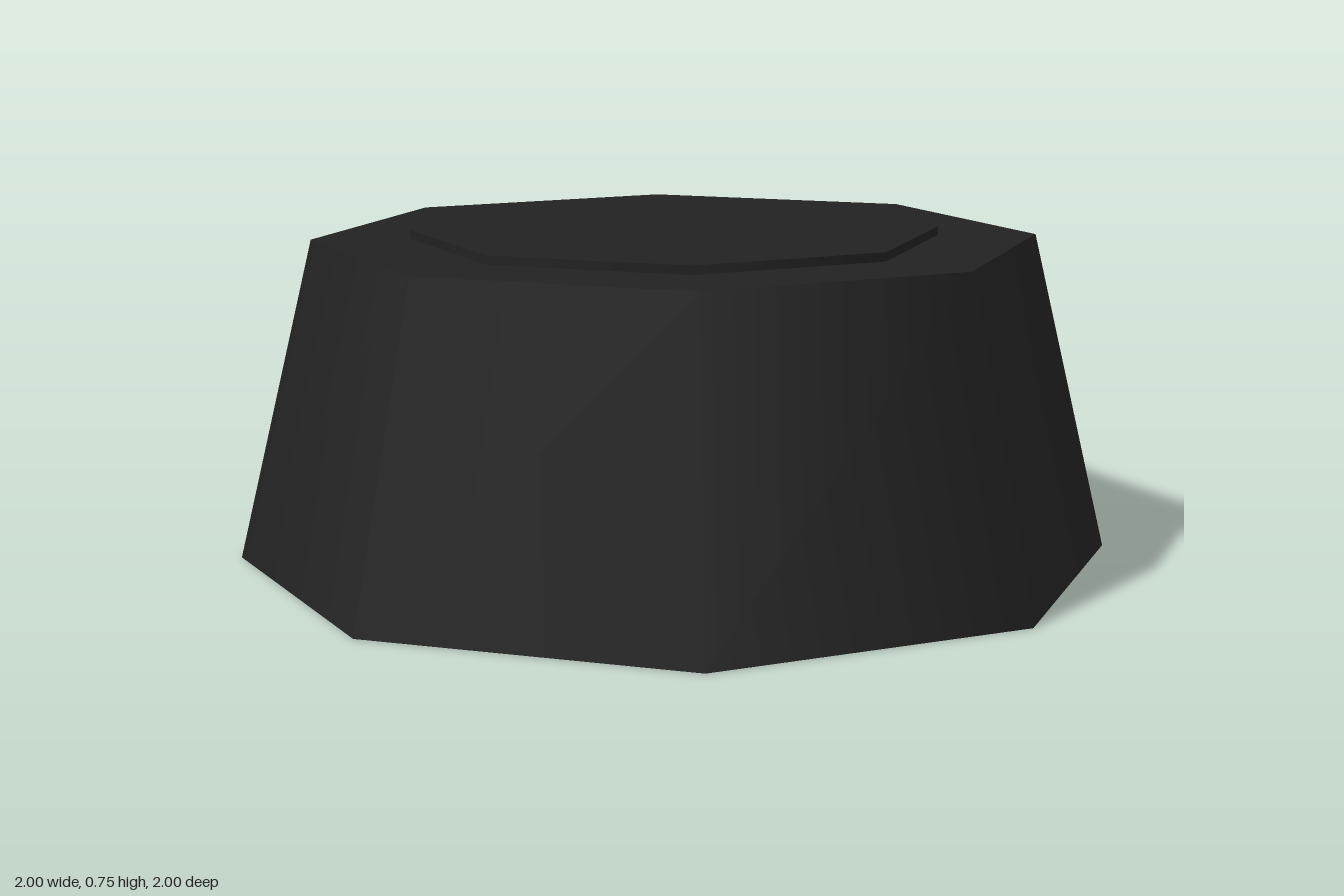
import * as THREE from 'three';

export function createModel() {
  const group = new THREE.Group();
  const charcoal = new THREE.MeshStandardMaterial({ color: 0x222222 });
  charcoal.name = 'charcoal';

  // Eight-sided, smooth-shaded frustum standing on a given height
  const addTier = (name, topRadius, bottomRadius, bottom, top) => {
    const geometry = new THREE.CylinderGeometry(topRadius, bottomRadius, top - bottom, 8);
    const mesh = new THREE.Mesh(geometry, charcoal);
    mesh.name = name;
    mesh.position.y = (bottom + top) / 2;
    group.add(mesh);
  };

  // Tapered body and the thin raised plate on its top
  addTier('body', 0.825, 1, 0, 0.735);
  addTier('topPlate', 0.6, 0.6, 0.735, 0.755);

  return group;
}
